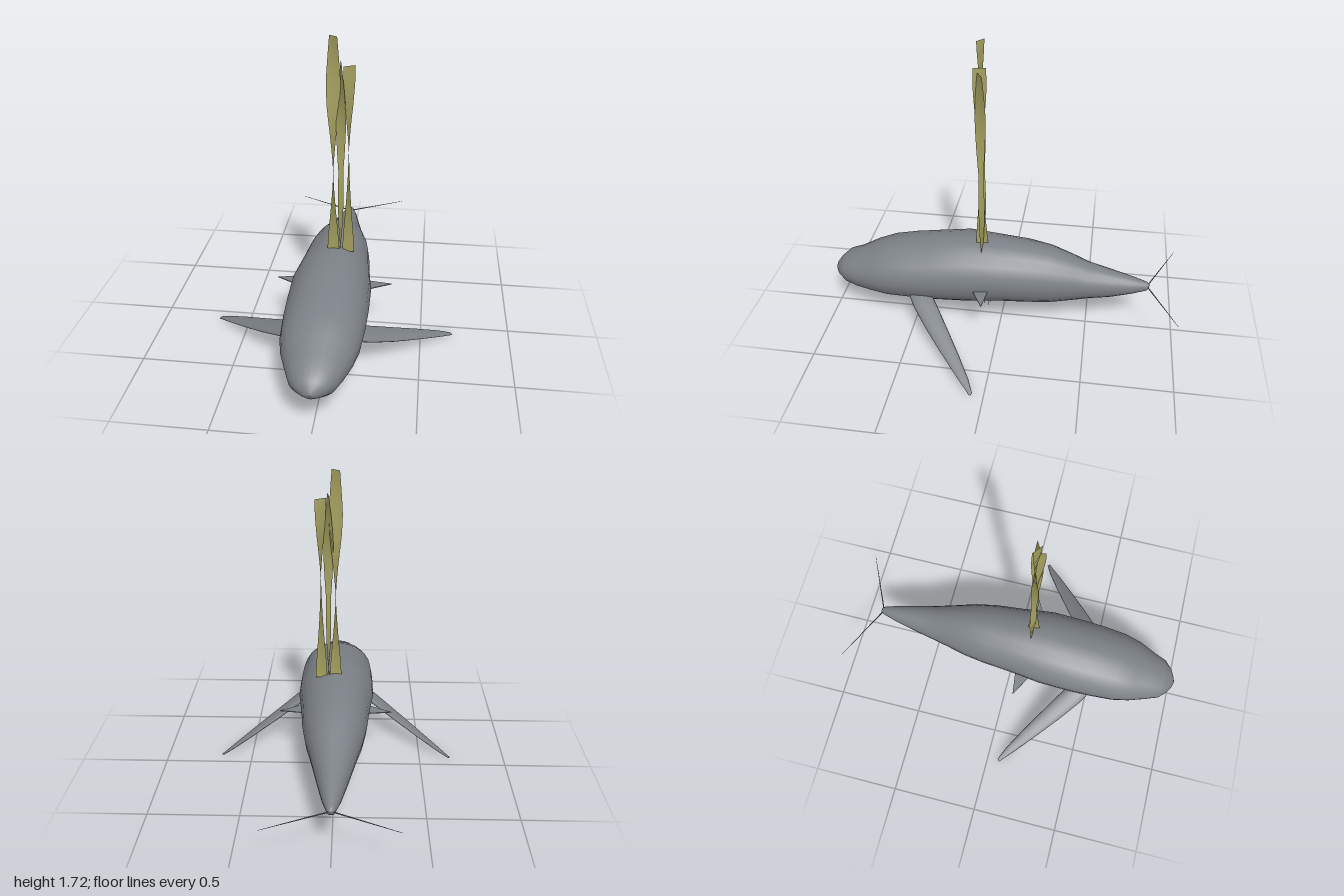
import * as THREE from 'three';

const grey = new THREE.MeshStandardMaterial({ color: 0x7c8187 });
grey.name = 'slate grey';
const olive = new THREE.MeshStandardMaterial({ color: 0xa5a160, side: THREE.DoubleSide });
olive.name = 'kelp olive';

function makeMesh(name, geometry, material) {
  const m = new THREE.Mesh(geometry, material);
  m.name = name;
  return m;
}

// Closed skin through equal-length rings of points
function loft(rings) {
  const n = rings[0].length, pos = [], index = [];
  rings.forEach((ring) => ring.forEach((p) => pos.push(...p)));
  for (let i = 0; i < rings.length - 1; i++) {
    for (let j = 0; j < n; j++) {
      const k = (j + 1) % n;
      const a = i * n + j, b = i * n + k, c = a + n, d = b + n;
      index.push(a, c, b, b, c, d);
    }
  }
  const g = new THREE.BufferGeometry();
  g.setAttribute('position', new THREE.Float32BufferAttribute(pos, 3));
  g.setIndex(index);
  g.computeVertexNormals();
  return g;
}

// Body stations: z, half width, top y, bottom y
const BODY = [
  [0.998, 0.002, 0.262, 0.258], [0.99, 0.03, 0.285, 0.235], [0.965, 0.075, 0.32, 0.218],
  [0.92, 0.118, 0.362, 0.187], [0.85, 0.145, 0.385, 0.166], [0.75, 0.184, 0.435, 0.156],
  [0.65, 0.207, 0.475, 0.141], [0.52, 0.217, 0.502, 0.138], [0.38, 0.221, 0.524, 0.138],
  [0.2, 0.219, 0.553, 0.144], [0, 0.194, 0.541, 0.158], [-0.15, 0.18, 0.53, 0.163],
  [-0.28, 0.158, 0.508, 0.167], [-0.4, 0.127, 0.465, 0.187], [-0.5, 0.104, 0.422, 0.208],
  [-0.63, 0.075, 0.39, 0.225], [-0.75, 0.048, 0.358, 0.255], [-0.83, 0.024, 0.335, 0.28],
  [-0.847, 0.012, 0.322, 0.295], [-0.848, 0.001, 0.309, 0.307],
];

function buildBody() {
  const sides = 20;
  return loft(BODY.map(([z, w, top, bottom]) => Array.from({ length: sides }, (_, j) => {
    const t = (j / sides) * Math.PI * 2;
    return [w * Math.cos(t), (top + bottom) / 2 + ((top - bottom) / 2) * Math.sin(t), z];
  })));
}

// Flipper stations: x, y, leading z, trailing z, half thickness
const FLIPPER = [
  [0.12, 0.252, 0.545, 0.44, 0.02], [0.18, 0.232, 0.515, 0.375, 0.02],
  [0.25, 0.2, 0.47, 0.325, 0.018], [0.36, 0.148, 0.378, 0.25, 0.015],
  [0.48, 0.094, 0.27, 0.17, 0.011], [0.6, 0.04, 0.157, 0.095, 0.007],
  [0.67, 0.009, 0.088, 0.062, 0.004], [0.682, 0.004, 0.08, 0.07, 0.001],
];

function buildFlipper(side) {
  const sides = 12;
  return loft(FLIPPER.map(([x, y, front, back, h]) => Array.from({ length: sides }, (_, j) => {
    const t = side * (j / sides) * Math.PI * 2;
    return [side * x, y + h * Math.sin(t), (front + back) / 2 + ((front - back) / 2) * Math.cos(t)];
  })));
}

// Thin triangular fin lying level on the flank
function buildSideFin(side) {
  const shape = new THREE.Shape([
    new THREE.Vector2(side * 0.17, -0.05), new THREE.Vector2(side * 0.325, -0.07),
    new THREE.Vector2(side * 0.17, -0.155),
  ]);
  const g = new THREE.ExtrudeGeometry(shape, { depth: 0.005, bevelEnabled: false });
  return g.rotateX(-Math.PI / 2).translate(0, 0.312, 0);
}

// Tapered thread between two points
function thread(from, to, r0, r1) {
  const a = new THREE.Vector3(...from), dir = new THREE.Vector3(...to).sub(a);
  const g = new THREE.CylinderGeometry(r1, r0, dir.length(), 5);
  g.translate(0, dir.length() / 2, 0);
  g.applyQuaternion(new THREE.Quaternion().setFromUnitVectors(
    new THREE.Vector3(0, 1, 0), dir.normalize()));
  return g.translate(a.x, a.y, a.z);
}

// Half width of a kelp blade at a height: broad foot, pinched waist, broad upper blade
const WIDTH = [[0.5, 0.034], [0.62, 0.03], [0.8, 0.021], [1, 0.013], [1.2, 0.025],
  [1.35, 0.035], [1.5, 0.037], [1.6, 0.032], [1.75, 0.027]];
function bladeWidth(y) {
  const i = Math.max(1, WIDTH.findIndex(([h]) => h >= y));
  const [h0, w0] = WIDTH[i - 1], [h1, w1] = WIDTH[i];
  return w0 + ((w1 - w0) * (y - h0)) / (h1 - h0);
}

// Upright ribbon that turns steadily about its own axis
function buildBlade(x, z, y0, y1, startAngle, endAngle) {
  const steps = 20, g = new THREE.PlaneGeometry(1, 1, 1, steps), p = g.attributes.position;
  for (let i = 0; i < p.count; i++) {
    const f = p.getY(i) + 0.5, y = y0 + (y1 - y0) * f;
    const a = THREE.MathUtils.degToRad(startAngle + (endAngle - startAngle) * f);
    const w = bladeWidth(y) * Math.sign(p.getX(i));
    p.setXYZ(i, x + w * Math.cos(a), y, z + w * Math.sin(a));
  }
  g.computeVertexNormals();
  return g;
}

export function createModel() {
  const model = new THREE.Group();
  model.name = 'whaleWithKelp';
  model.add(makeMesh('body', buildBody(), grey));

  for (const side of [1, -1]) {
    const label = side > 0 ? 'left' : 'right';
    model.add(makeMesh(label + 'Flipper', buildFlipper(side), grey));
    model.add(makeMesh(label + 'SideFin', buildSideFin(side), grey));
    model.add(makeMesh(label + 'TailFilament',
      thread([0, 0.306, -0.835], [side * 0.335, 0.316, -0.995], 0.004, 0.001), grey));
  }

  // Belly filaments
  const belly = new THREE.Group();
  belly.name = 'bellyFilaments';
  [[-0.027, 0.08], [-0.016, 0.12], [-0.004, 0.07], [0.006, 0.13], [0.016, 0.1], [0.027, 0.075]]
    .forEach(([x, z]) => belly.add(makeMesh('bellyFilament',
      thread([x, 0.17, z], [x * 0.9, 0.08, z], 0.002, 0.0015), grey)));
  model.add(belly);

  // Kelp blades on the back
  const kelp = new THREE.Group();
  kelp.name = 'kelp';
  kelp.add(makeMesh('tallBlade', buildBlade(0, 0.107, 0.54, 1.727, 0, 218), olive));
  kelp.add(makeMesh('middleBlade', buildBlade(0.04, 0.107, 0.53, 1.597, 80, 260), olive));
  kelp.add(makeMesh('shortBlade', buildBlade(0.081, 0.1, 0.525, 1.577, 0, 150), olive));
  model.add(kelp);
  return model;
}
